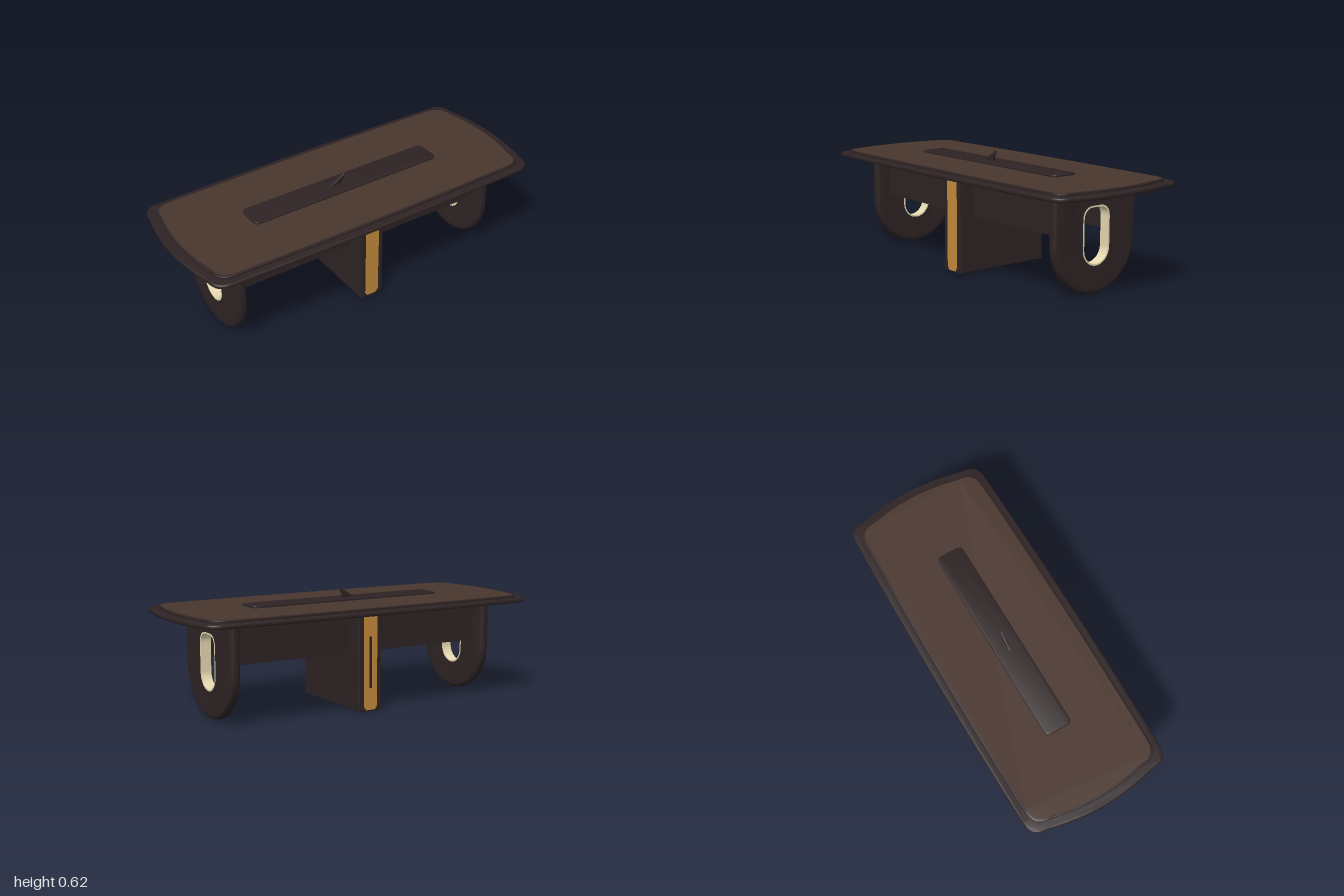
import * as THREE from 'three';
import { toCreasedNormals } from 'three/addons/utils/BufferGeometryUtils.js';
import { RoundedBoxGeometry } from 'three/addons/geometries/RoundedBoxGeometry.js';

const mat = (name, color) => {
  const m = new THREE.MeshStandardMaterial({ color });
  m.name = name;
  return m;
};

// Rectangle with bowed sides and soft corners
function bowedShape(hx, hz, bowX, bowZ, r) {
  const cx = hx - bowX, cz = hz - bowZ;
  const s = new THREE.Shape();
  s.moveTo(-cx + r, -cz);
  s.quadraticCurveTo(0, -hz - bowZ, cx - r, -cz);
  s.quadraticCurveTo(cx, -cz, cx, -cz + r);
  s.quadraticCurveTo(hx + bowX, 0, cx, cz - r);
  s.quadraticCurveTo(cx, cz, cx - r, cz);
  s.quadraticCurveTo(0, hz + bowZ, -cx + r, cz);
  s.quadraticCurveTo(-cx, cz, -cx, cz - r);
  s.quadraticCurveTo(-hx - bowX, 0, -cx, -cz + r);
  s.quadraticCurveTo(-cx, -cz, -cx + r, -cz);
  return s;
}

// Leg outline: square top, semicircular foot
function footShape(h, top, bottom) {
  const s = new THREE.Shape();
  s.moveTo(h, top);
  s.lineTo(-h, top);
  s.lineTo(-h, bottom + h);
  s.absarc(0, bottom + h, h, Math.PI, Math.PI * 2, false);
  s.lineTo(h, top);
  return s;
}

// Opening outline: semicircular bottom, flatter rounded top
function openingShape(h, bottom, top, Type = THREE.Path) {
  const s = new Type();
  const r = h * 0.75;
  s.moveTo(h, top - r);
  s.bezierCurveTo(h, top - r * 0.35, h - r * 0.35, top, h - r, top);
  s.lineTo(-h + r, top);
  s.bezierCurveTo(-h + r * 0.35, top, -h, top - r * 0.35, -h, top - r);
  s.lineTo(-h, bottom + h);
  s.absarc(0, bottom + h, h, Math.PI, Math.PI * 2, false);
  s.lineTo(h, top - r);
  return s;
}

// Extrusion of total thickness t centred on its depth, edges rounded inward by b
function extrude(shape, t, b = 0) {
  const g = new THREE.ExtrudeGeometry(shape, {
    depth: t - 2 * b, curveSegments: 20, bevelEnabled: b > 0,
    bevelThickness: b, bevelSize: b, bevelOffset: -b, bevelSegments: 5,
  });
  g.translate(0, 0, -(t - 2 * b) / 2);
  return toCreasedNormals(g, 0.6);
}

export function createModel() {
  const dark = mat('dark wood', 0x2e2324);
  const brown = mat('brown surface', 0x49362d);
  const gold = mat('golden inlay', 0xc48a3b);
  const cream = mat('cream lining', 0xe6dab2);

  const model = new THREE.Group();
  model.name = 'table';
  const add = (name, geo, material, x = 0, y = 0, z = 0, parent = model) => {
    const m = new THREE.Mesh(geo, material);
    m.name = name;
    m.position.set(x, y, z);
    parent.add(m);
    return m;
  };
  const slab = (name, shape, y0, y1, b, material) =>
    add(name, extrude(shape, y1 - y0, b).rotateX(-Math.PI / 2), material, 0, (y0 + y1) / 2);

  // Table top
  slab('topRim', bowedShape(1, 0.407, 0.04, 0.012, 0.09), 0.518, 0.541, 0.01, dark);
  slab('topStep', bowedShape(0.955, 0.369, 0.032, 0.01, 0.09), 0.535, 0.553, 0.004, dark);
  slab('topSurface', bowedShape(0.945, 0.358, 0.032, 0.01, 0.09), 0.55, 0.555, 0, brown);
  slab('undersidePanel', bowedShape(0.93, 0.355, 0.032, 0.01, 0.09), 0.514, 0.52, 0, brown);

  // Raised centre plate and its small slanted fin
  slab('centrePlate', bowedShape(0.562, 0.074, 0, 0, 0.03), 0.55, 0.565, 0.004, dark);
  const fin = new THREE.Shape();
  fin.moveTo(-0.085, 0.563);
  fin.lineTo(-0.005, 0.563);
  fin.lineTo(0.002, 0.588);
  fin.lineTo(0.014, 0.598);
  fin.lineTo(0.012, 0.62);
  fin.lineTo(-0.045, 0.582);
  add('fin', extrude(fin, 0.012, 0.003), dark);

  // End legs with a lined opening
  for (const side of [1, -1]) {
    const leg = new THREE.Group();
    leg.name = side > 0 ? 'leftLeg' : 'rightLeg';
    leg.position.x = side * 0.757;
    model.add(leg);
    const shell = footShape(0.265, 0.525, 0.003);
    shell.holes.push(openingShape(0.12, 0.115, 0.475));
    const core = footShape(0.2, 0.495, 0.068);
    core.holes.push(openingShape(0.086, 0.147, 0.442));
    const lining = openingShape(0.087, 0.146, 0.443, THREE.Shape);
    lining.holes.push(openingShape(0.079, 0.154, 0.435));
    add('legEdge', extrude(shell, 0.054, 0.022).rotateY(Math.PI / 2), dark, 0, 0, 0, leg);
    add('legPanel', extrude(core, 0.054).rotateY(Math.PI / 2), dark, 0, 0, 0, leg);
    add('openingLining', extrude(lining, 0.056).rotateY(Math.PI / 2), cream, 0, 0, 0, leg);
  }

  // Aprons running between the legs
  for (const side of [1, -1]) {
    add(side > 0 ? 'frontApron' : 'backApron',
      new THREE.BoxGeometry(1.47, 0.22, 0.05), dark, 0, 0.41, side * 0.16);
  }

  // Central pillar with golden strips front and back
  add('pillar', new RoundedBoxGeometry(0.134, 0.516, 0.56, 2, 0.004), dark, 0, 0.262, 0);
  const strip = new THREE.Shape();
  [[-0.04, 0.03], [-0.026, 0.01], [0.026, 0.01], [0.04, 0.03], [0.04, 0.516], [-0.04, 0.516]]
    .forEach(([x, y], i) => (i ? strip.lineTo(x, y) : strip.moveTo(x, y)));
  for (const side of [1, -1]) {
    add(side > 0 ? 'frontStrip' : 'backStrip', extrude(strip, 0.004), gold, 0, 0, side * 0.28);
  }
  // Slim groove on the back strip
  add('backGroove', new THREE.BoxGeometry(0.014, 0.27, 0.003), dark, 0, 0.26, -0.282);

  return model;
}
